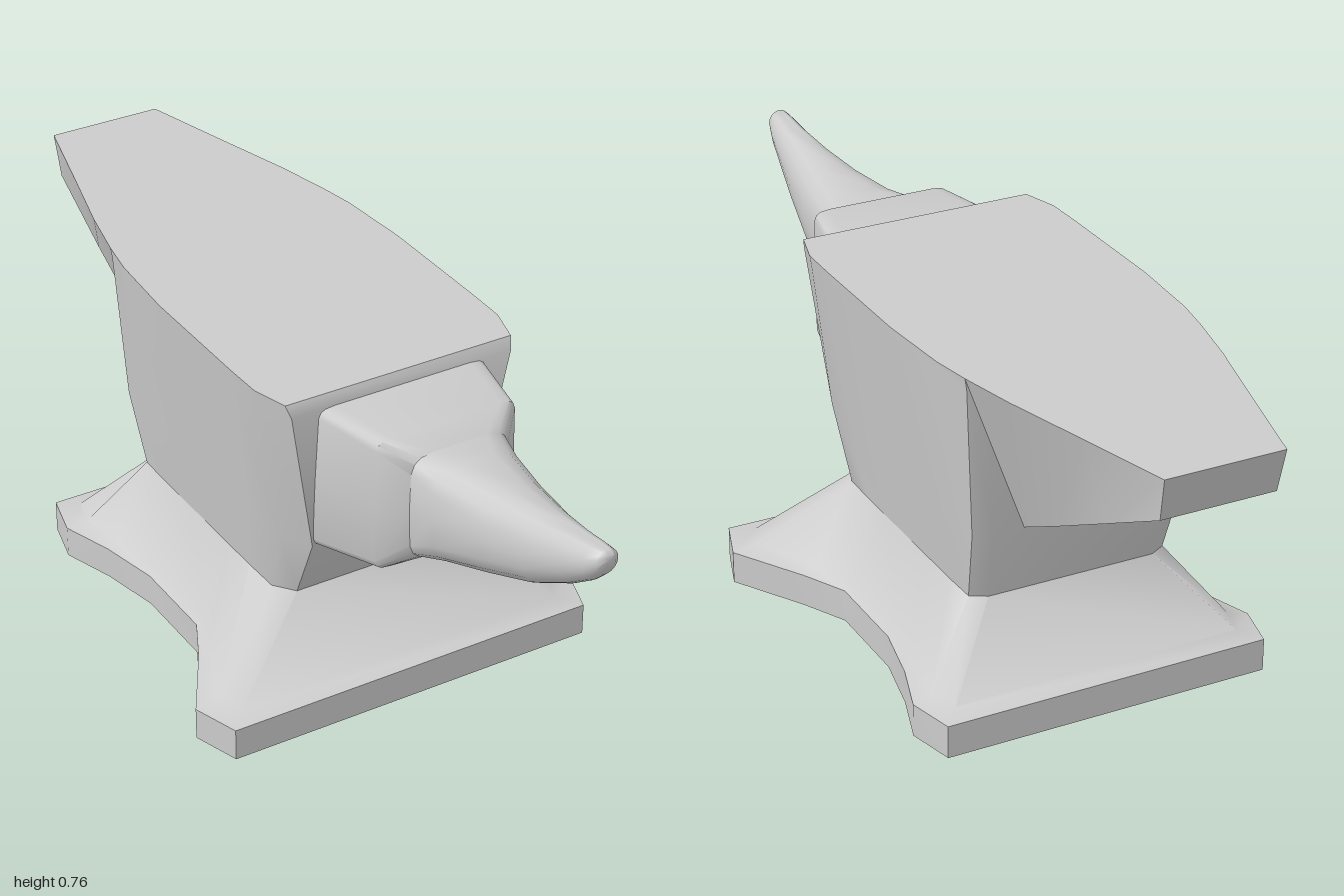
import * as THREE from 'three';
import { toCreasedNormals } from 'three/addons/utils/BufferGeometryUtils.js';

const material = new THREE.MeshStandardMaterial({ color: 0xcccccc });

// Mirror a +x half outline into a closed ring.
const ring = half => [...half, ...half.map(([x, y, z]) => [-x, y, z]).reverse()];
const level = (y, half) => ring(half.map(([x, z]) => [x, y, z]));

// Skin a run of equal rings and cap both ends.
function loft(name, rings, crease) {
  const n = rings[0].length, pos = rings.flat(2), idx = [];
  rings.slice(1).forEach((_, i) => {
    for (let j = 0; j < n; j++) {
      const k = (j + 1) % n, a = i * n + j, b = i * n + k;
      idx.push(a, a + n, b + n, a, b + n, b);
    }
  });
  [0, rings.length - 1].forEach((r, end) => {
    const c = pos.length / 3;
    for (let d = 0; d < 3; d++) pos.push(rings[r].reduce((s, p) => s + p[d], 0) / n);
    for (let j = 0; j < n; j++) {
      const a = r * n + j, b = r * n + (j + 1) % n;
      idx.push(c, end ? b : a, end ? a : b);
    }
  });
  const g = new THREE.BufferGeometry();
  g.setAttribute('position', new THREE.Float32BufferAttribute(pos, 3));
  g.setIndex(idx);
  const mesh = new THREE.Mesh(toCreasedNormals(g, crease), material);
  mesh.name = name;
  return mesh;
}

// Rounded-box cross-section; power 0 is a box, 1 an ellipse.
function hornRing([z, w, bottom, top, power]) {
  const half = [], steps = 9;
  const pw = v => Math.sign(v) * Math.abs(v) ** power;
  for (let i = 0; i < steps; i++) {
    const a = Math.PI / 2 - (i + 0.5) / steps * Math.PI;
    const s = Math.sin(a) / Math.cos(Math.PI / 2 / steps);
    half.push([w * pw(Math.cos(a)), (top + bottom) / 2 + (top - bottom) / 2 * pw(Math.abs(s) < 1e-6 ? 0 : s), z]);
  }
  return ring(half);
}

export function createModel() {
  const model = new THREE.Group();
  model.name = 'anvil';

  // Foot plate with drawn-in sides
  const foot = [[0.365, -0.595], [0.39, -0.49], [0.35, -0.37], [0.32, -0.23],
    [0.32, -0.02], [0.37, 0.08], [0.465, 0.24], [0.43, 0.345]];
  model.add(loft('footPlate', [level(0, foot), level(0.073, foot)], 0.6));

  // Flare from the foot up to the waist
  const shoulder = [[0.325, -0.55], [0.345, -0.48], [0.325, -0.37], [0.305, -0.23],
    [0.305, -0.02], [0.34, 0.08], [0.41, 0.24], [0.385, 0.30]];
  const waist = [[0.19, -0.43], [0.225, -0.41], [0.227, -0.33], [0.227, -0.22],
    [0.227, -0.04], [0.227, 0.05], [0.225, 0.14], [0.19, 0.185]];
  model.add(loft('flaredBase',
    [level(0.073, foot), level(0.083, shoulder), level(0.238, waist)], 0.9));

  // Body widening from the waist to the working face
  const chest = [[0.2, -0.468], [0.24, -0.455], [0.247, -0.36], [0.247, -0.22],
    [0.247, -0.04], [0.247, 0.08], [0.24, 0.2], [0.2, 0.265]];
  const rim = [[0.2, -0.47], [0.259, -0.47], [0.276, -0.38], [0.287, -0.2],
    [0.287, -0.04], [0.287, 0.1], [0.284, 0.19], [0.258, 0.285]];
  const face = [[0.2, -0.47], [0.263, -0.47], [0.278, -0.38], [0.29, -0.2],
    [0.29, -0.04], [0.29, 0.1], [0.288, 0.19], [0.265, 0.272]];
  model.add(loft('body',
    [level(0.238, waist), level(0.4, chest), level(0.735, rim), level(0.76, face)], 0.75));

  // Heel: wide top, narrow sloping underside
  const heel = [[-1, 0.13, -0.98, 0.125, 0.665], [-0.8, 0.182, -0.795, 0.13, 0.569],
    [-0.6, 0.235, -0.598, 0.13, 0.466], [-0.47, 0.263, -0.468, 0.13, 0.4]];
  model.add(loft('heel', heel.map(([zt, wt, zb, wb, yb]) =>
    ring([[wt, 0.76, zt], [wb, yb, zb]])), 0.5));

  // Step block and tapering, upturned horn
  const step = [[0.2, 0.2, 0.39, 0.735, 0.12], [0.27, 0.2, 0.4, 0.735, 0.12],
    [0.445, 0.163, 0.433, 0.735, 0.15], [0.495, 0.115, 0.468, 0.71, 0.35]];
  model.add(loft('step', step.map(hornRing), 0.7));
  const horn = [[0.495, 0.115, 0.468, 0.71, 0.35], [0.56, 0.106, 0.485, 0.71, 0.6],
    [0.68, 0.085, 0.52, 0.715, 0.8], [0.8, 0.062, 0.565, 0.725, 0.9],
    [0.9, 0.044, 0.622, 0.738, 1], [0.96, 0.034, 0.665, 0.747, 1],
    [0.99, 0.026, 0.695, 0.75, 1], [1, 0.014, 0.718, 0.743, 1]];
  model.add(loft('horn', horn.map(hornRing), 1));

  return model;
}
